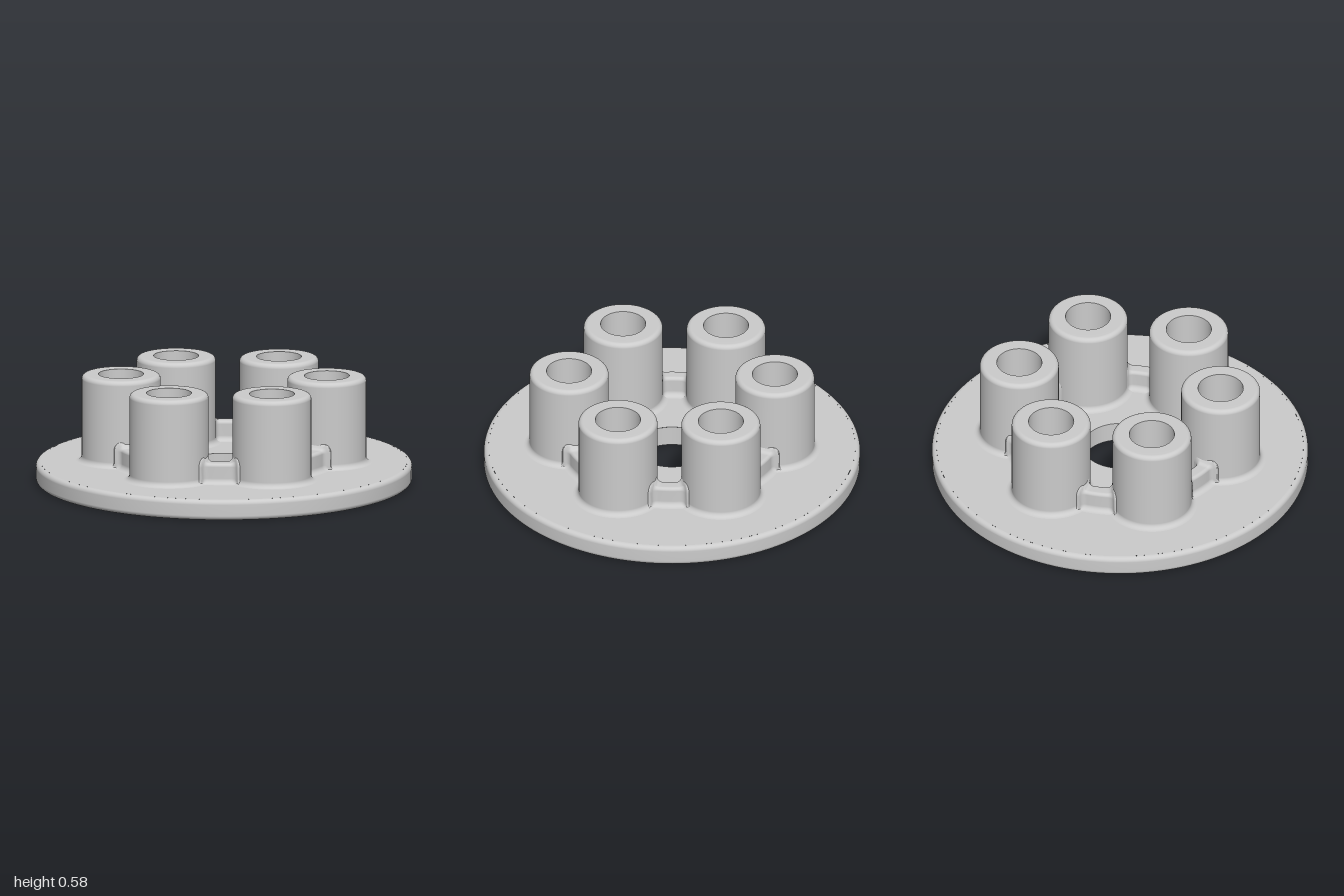
import * as THREE from 'three';

const COUNT = 6;          // posts around the circle
const PITCH = 0.547;      // radius of the post circle
const POST_R = 0.21, BORE_R = 0.12, HUB_R = 0.197;
const PLATE_TOP = 0.11, POST_TOP = 0.58, RIB_TOP = 0.22;
const FILLET = 0.03;

const material = new THREE.MeshStandardMaterial({ color: 0xcccccc });

function addMesh(parent, geometry, name) {
  const mesh = new THREE.Mesh(geometry, material);
  mesh.name = name;
  parent.add(mesh);
  return mesh;
}

// Points on a circular arc, angles in degrees
function arc(cx, cy, r, from, to, steps = 6) {
  return Array.from({ length: steps + 1 }, (_, i) => {
    const a = THREE.MathUtils.degToRad(from + (to - from) * i / steps);
    return new THREE.Vector2(cx + r * Math.cos(a), cy + r * Math.sin(a));
  });
}

const v2 = (x, y) => new THREE.Vector2(x, y);

// Inward-facing wall of a round hole
const bore = (r, top) => new THREE.LatheGeometry([v2(r, top), v2(r, 0)], 64);

// Flat disc pierced by the hub hole and the six post holes
function piercedDisc(radius, postHole) {
  const shape = new THREE.Shape().absarc(0, 0, radius, 0, Math.PI * 2);
  const hole = (x, y, r) => shape.holes.push(new THREE.Path().absarc(x, y, r, 0, Math.PI * 2, true));
  hole(0, 0, HUB_R);
  for (let i = 0; i < COUNT; i++) {
    const a = i * Math.PI * 2 / COUNT;
    hole(PITCH * Math.sin(a), PITCH * Math.cos(a), postHole);
  }
  return new THREE.ShapeGeometry(shape, 48);
}

// Curved rib centred on +z, flaring where it meets the posts on either side
function ribGeometry() {
  const inner = 0.508, outer = 0.584, round = 0.018, base = PLATE_TOP;
  const half = THREE.MathUtils.degToRad(12);
  const profile = [
    ...arc(outer + FILLET, base + FILLET, FILLET, 270, 180),
    ...arc(outer - round, RIB_TOP - round, round, 0, 90),
    ...arc(inner + round, RIB_TOP - round, round, 90, 180),
    ...arc(inner - FILLET, base + FILLET, FILLET, 0, -90),
  ];
  const geometry = new THREE.LatheGeometry(profile, 48, -half, half * 2);
  const pos = geometry.attributes.position;
  const middle = (inner + outer) / 2;
  for (let i = 0; i < pos.count; i++) {
    const x = pos.getX(i), y = pos.getY(i), z = pos.getZ(i);
    const r = Math.hypot(x, z);
    // distance to the nearer post's wall
    const a = Math.PI / COUNT;
    const d = Math.hypot(Math.abs(x) - PITCH * Math.sin(a), z - PITCH * Math.cos(a)) - POST_R;
    const t = THREE.MathUtils.clamp(FILLET - d, 0, FILLET);
    const lift = FILLET - Math.sqrt(FILLET * FILLET - t * t);
    const side = THREE.MathUtils.clamp((r - middle) / (outer - middle), -1, 1);
    const scale = (r + side * lift) / r;
    const up = y > RIB_TOP - round ? lift * (y - RIB_TOP + round) / round : 0;
    pos.setXYZ(i, x * scale, y + up, z * scale);
  }
  geometry.computeVertexNormals();
  return geometry;
}

export function createModel() {
  const model = new THREE.Group();
  model.name = 'flangedPostPlate';

  // Base plate: rounded rim, flat faces, centre hole
  const plate = new THREE.Group();
  plate.name = 'basePlate';
  model.add(plate);
  const edge = 0.025;
  addMesh(plate, new THREE.LatheGeometry([
    ...arc(1 - edge, edge, edge, -90, 0),
    ...arc(1 - edge, PLATE_TOP - edge, edge, 0, 90),
  ], 128), 'plateRim');
  const top = addMesh(plate, piercedDisc(1 - edge, POST_R + FILLET - 0.002), 'plateTop');
  top.rotation.x = -Math.PI / 2;
  top.position.y = PLATE_TOP;
  addMesh(plate, piercedDisc(1 - edge, BORE_R), 'plateBottom').rotation.x = Math.PI / 2;
  addMesh(plate, bore(HUB_R, PLATE_TOP), 'centreHole');

  // Tubular posts with a filleted foot and rounded lip, joined by ribs
  const lip = 0.025;
  const postWall = new THREE.LatheGeometry([
    ...arc(POST_R + FILLET, PLATE_TOP + FILLET, FILLET, 270, 180),
    ...arc(POST_R - lip, POST_TOP - lip, lip, 0, 90),
    v2(BORE_R, POST_TOP),
  ], 64);
  const postBore = bore(BORE_R, POST_TOP);
  const rib = ribGeometry();
  for (let i = 0; i < COUNT; i++) {
    const a = i * Math.PI * 2 / COUNT;
    const post = new THREE.Group();
    post.name = 'post';
    post.position.set(PITCH * Math.sin(a), 0, PITCH * Math.cos(a));
    addMesh(post, postWall, 'postWall');
    addMesh(post, postBore, 'postBore');
    model.add(post);
    addMesh(model, rib, 'rib').rotation.y = a + Math.PI / COUNT;
  }
  return model;
}
